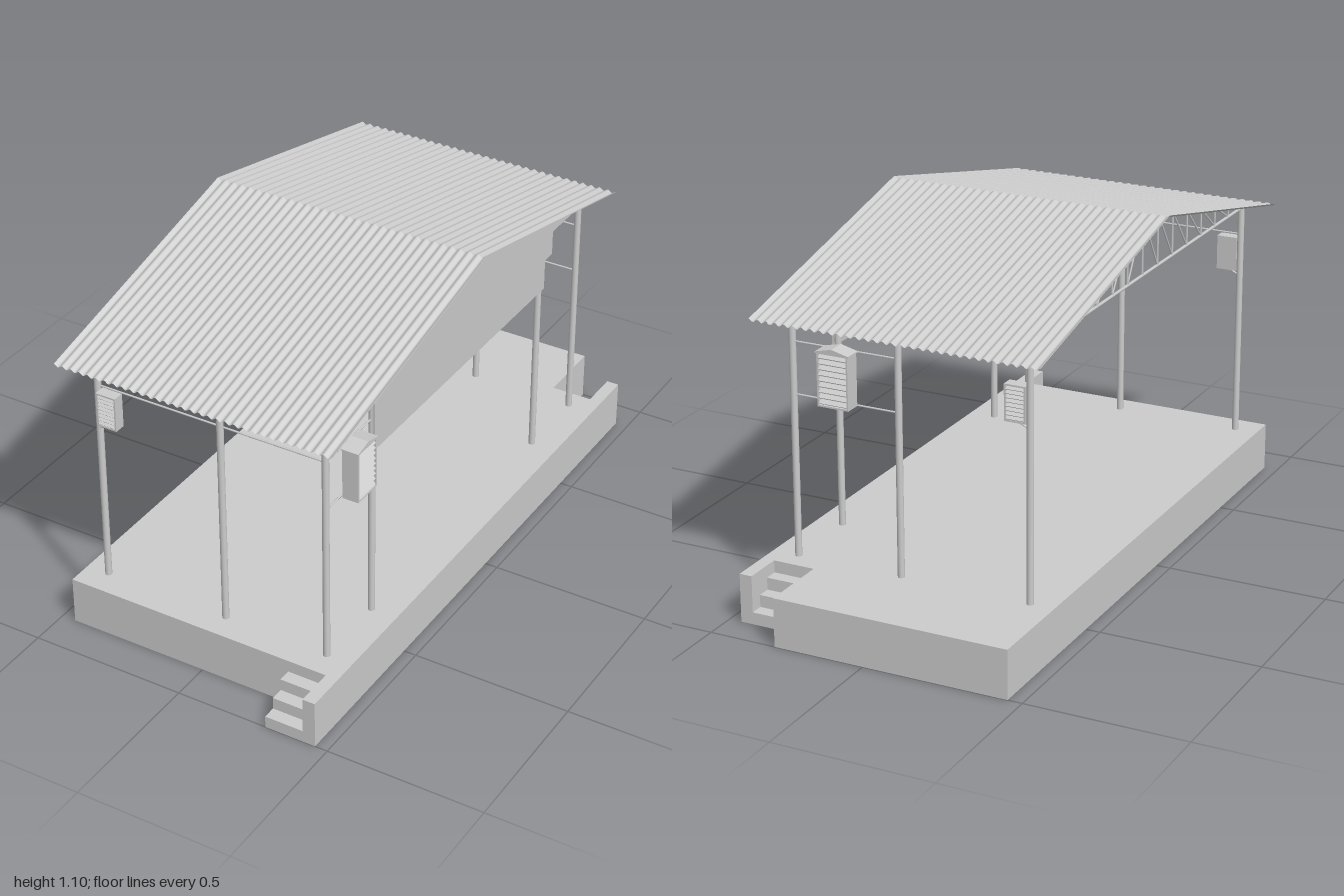
import * as THREE from 'three';

const material = new THREE.MeshStandardMaterial({ color: 0xcccccc });
const sheetMaterial = new THREE.MeshStandardMaterial({ color: 0xcccccc, side: THREE.DoubleSide });

const DECK = 0.152, RIDGE_Z = 0.03, RIDGE_Y = 1.097, EAVE_Y = 0.903, RUN = 0.85;
const POST_X = [-0.38, 0.033, 0.375];
const FRONT_Z = 0.795, BACK_Z = -0.71;

// Height of the roof sheet above a given z
const roofY = (z) => RIDGE_Y - (RIDGE_Y - EAVE_Y) * Math.abs(z - RIDGE_Z) / RUN;

function add(parent, name, geometry, x = 0, y = 0, z = 0, mat = material) {
  const mesh = new THREE.Mesh(geometry, mat);
  mesh.name = name;
  mesh.position.set(x, y, z);
  parent.add(mesh);
  return mesh;
}

// Box given by its minimum and maximum corners
function block(parent, name, [x0, y0, z0], [x1, y1, z1]) {
  return add(parent, name, new THREE.BoxGeometry(x1 - x0, y1 - y0, z1 - z0),
    (x0 + x1) / 2, (y0 + y1) / 2, (z0 + z1) / 2);
}

// Round bar between two points
function bar(parent, name, from, to, radius, sides = 8) {
  const a = new THREE.Vector3(...from), b = new THREE.Vector3(...to);
  const dir = b.clone().sub(a);
  const mesh = add(parent, name, new THREE.CylinderGeometry(radius, radius, dir.length(), sides));
  mesh.position.copy(a).add(b).multiplyScalar(0.5);
  mesh.quaternion.setFromUnitVectors(new THREE.Vector3(0, 1, 0), dir.normalize());
  return mesh;
}

// Flat outline in (x, y), given a depth along z
function slab(points, depth) {
  const shape = new THREE.Shape(points.map(([x, y]) => new THREE.Vector2(x, y)));
  return new THREE.ExtrudeGeometry(shape, { depth, bevelEnabled: false });
}

function makeBase() {
  const base = new THREE.Group();
  base.name = 'base';
  // Deck outline in (x, -z): notched at the back corner, side wall running past the front
  const outline = [[-0.455, -0.875], [0.42, -0.875], [0.42, -1], [0.46, -1], [0.46, 0.9],
    [0.42, 0.9], [0.42, 0.775], [0.287, 0.775], [0.287, 1], [-0.455, 1]];
  add(base, 'platform', slab(outline, DECK).rotateX(-Math.PI / 2));
  // Three steps at each end
  for (let i = 0; i < 3; i++) {
    const h = DECK * (i + 1) / 4;
    block(base, 'frontStep', [0.295, 0, 0.875], [0.42, h, 1 - i * 0.0417]);
    block(base, 'backStep', [0.287, 0, -0.9 + i * 0.0417], [0.42, h, -0.775]);
  }
  return base;
}

// Corrugated sheet for one slope; side = 1 front, -1 back
function makeSlope(side) {
  const waves = 32, width = 0.915;
  const geo = new THREE.PlaneGeometry(width, 1, waves * 8, 1);
  const p = geo.attributes.position;
  for (let i = 0; i < p.count; i++) {
    const x = p.getX(i), down = 0.5 - p.getY(i);
    const z = RIDGE_Z + side * down * RUN;
    const wave = 0.004 * Math.cos((x / width + 0.5) * waves * Math.PI * 2);
    p.setXYZ(i, side * x - 0.0075, roofY(z) + wave, z);
  }
  geo.computeVertexNormals();
  return geo;
}

// Lattice truss lying in a plane of constant x
function makeTruss(x) {
  const truss = new THREE.Group();
  truss.name = 'roofTruss';
  const low = 0.905, top = (z) => roofY(z) - 0.008;
  bar(truss, 'bottomChord', [x, low, FRONT_Z], [x, low, BACK_Z], 0.005);
  for (const end of [FRONT_Z, BACK_Z]) {
    bar(truss, 'topChord', [x, top(end), end], [x, top(RIDGE_Z), RIDGE_Z], 0.005);
    const n = 7, at = (i) => end + (RIDGE_Z - end) * i / n;
    for (let i = 1; i <= n; i++) {
      const z = at(i), before = at(i - 1);
      bar(truss, 'upright', [x, low, z], [x, top(z), z], 0.003, 6);
      bar(truss, 'diagonal', [x, low, before], [x, top(z), z], 0.003, 6);
    }
  }
  return truss;
}

// Louvred cabinet facing +z, origin at the centre of its bottom
function makeCabinet(name, w, h, d, slats, gabled) {
  const box = new THREE.Group();
  box.name = name;
  const t = 0.005, depth = 0.014;
  block(box, 'cabinetBody', [-w / 2, 0, -d / 2], [w / 2, h, d / 2 - depth]);
  for (const s of [-1, 1]) {
    add(box, 'sideFrame', new THREE.BoxGeometry(t, h, depth), s * (w - t) / 2, h / 2, (d - depth) / 2);
    add(box, 'crossFrame', new THREE.BoxGeometry(w - 2 * t, t, depth), 0, h / 2 + s * (h - t) / 2, (d - depth) / 2);
  }
  for (let i = 0; i < slats; i++) {
    const y = t + (h - 2 * t) * (i + 0.5) / slats;
    add(box, 'louvre', new THREE.BoxGeometry(w - 2 * t, 0.003, 0.015), 0, y, (d - depth) / 2)
      .rotation.x = 0.7;
  }
  if (gabled) {
    const o = w / 2 + 0.004;
    const cap = [[-o, h - 0.003], [o, h - 0.003], [o, h + 0.001], [0, h + 0.014], [-o, h + 0.001]];
    add(box, 'cabinetRoof', slab(cap, d + 0.004), 0, 0, -d / 2 - 0.002);
  }
  return box;
}

export function createModel() {
  const model = new THREE.Group();
  model.name = 'openShelter';
  model.add(makeBase());

  // Posts: three at the front, three at the back, two along the left side
  const posts = [[0.375, 0.545], [0.375, -0.455]];
  for (const x of POST_X) posts.push([x, FRONT_Z], [x, BACK_Z]);
  for (const [x, z] of posts) {
    bar(model, 'post', [x, DECK, z], [x, roofY(z) - 0.006, z], 0.0105, 20);
  }

  // Roof sheets and trusses
  add(model, 'frontRoofSheet', makeSlope(1), 0, 0, 0, sheetMaterial);
  add(model, 'backRoofSheet', makeSlope(-1), 0, 0, 0, sheetMaterial);
  for (const x of POST_X) model.add(makeTruss(x));

  // Gable wall in (-z, y), turned to face +x
  const gable = [[-0.88, 0.9], [-0.555, 0.9], [-0.555, 0.722], [0.465, 0.722], [0.465, 0.9],
    [0.82, 0.9], [-RIDGE_Z, RIDGE_Y - 0.004]];
  add(model, 'gableWall', slab(gable, 0.008).rotateY(Math.PI / 2), 0.382);

  // Rails between the posts
  bar(model, 'frontRail', [POST_X[0], 0.818, FRONT_Z], [POST_X[2], 0.818, FRONT_Z], 0.003);
  for (const y of [0.818, 0.657]) {
    bar(model, 'sideRail', [0.375, y, FRONT_Z], [0.375, y, 0.545], 0.003);
    bar(model, 'backRail', [POST_X[1], y, BACK_Z], [POST_X[2], y, BACK_Z], 0.003);
  }

  // Large gabled cabinets on the side and back rails
  const sideCabinet = makeCabinet('sideCabinet', 0.1, 0.164, 0.052, 9, true);
  sideCabinet.position.set(0.409, 0.656, 0.67);
  sideCabinet.rotation.y = Math.PI / 2;
  const backCabinet = makeCabinet('backCabinet', 0.1, 0.164, 0.052, 9, true);
  backCabinet.position.set(0.215, 0.656, -0.739);
  backCabinet.rotation.y = Math.PI;
  model.add(sideCabinet, backCabinet);

  // Small cabinets bracketed to the right-hand corner posts
  for (const [name, z, turn] of [['frontCabinet', 0.802, 0], ['rearCabinet', -0.705, Math.PI]]) {
    const cabinet = makeCabinet(name, 0.066, 0.11, 0.036, 8, false);
    cabinet.position.set(-0.338, 0.696, z);
    cabinet.rotation.y = turn;
    model.add(cabinet);
    bar(model, 'cabinetBracket', [-0.375, 0.678, z], [-0.335, 0.697, z], 0.003);
  }
  return model;
}
